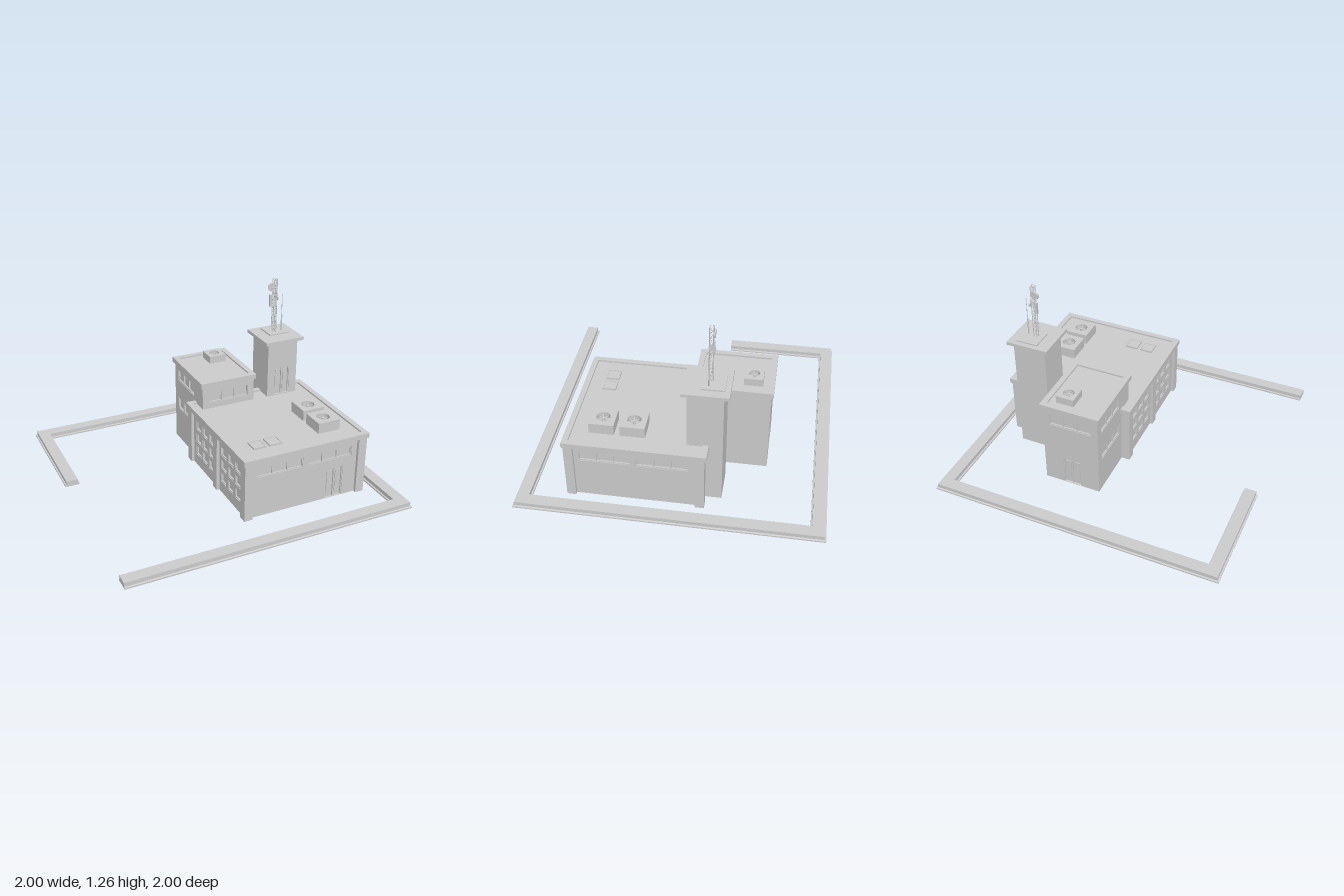
import * as THREE from 'three';

const grey = new THREE.MeshStandardMaterial({ color: 0xcccccc, flatShading: true, side: THREE.DoubleSide });

function add(parent, name, geo, x = 0, y = 0, z = 0) {
  const m = new THREE.Mesh(geo, grey);
  m.name = name;
  m.position.set(x, y, z);
  parent.add(m);
  return m;
}

function group(parent, name) {
  const g = new THREE.Group();
  g.name = name;
  parent.add(g);
  return g;
}

// box given by its limits
function block(parent, name, x0, x1, y0, y1, z0, z1) {
  return add(parent, name, new THREE.BoxGeometry(x1 - x0, y1 - y0, z1 - z0), (x0 + x1) / 2, (y0 + y1) / 2, (z0 + z1) / 2);
}

// box missing one face: 0 +x, 1 -x, 2 +y, 3 -y, 4 +z, 5 -z
function openBox(w, h, d, face) {
  const g = new THREE.BoxGeometry(w, h, d);
  g.setIndex(Array.from(g.index.array).filter((_, i) => Math.floor(i / 6) !== face));
  return g;
}

function rect(T, x0, y0, x1, y1) {
  return new T([[x0, y0], [x1, y0], [x1, y1], [x0, y1]].map(p => new THREE.Vector2(...p)));
}

// flat outline raised upward
function raise(shape, depth) {
  return new THREE.ExtrudeGeometry(shape, { depth, bevelEnabled: false, curveSegments: 12 }).rotateX(-Math.PI / 2);
}

// wall facing +z with recessed windows and doors; an opening is [u0, u1, y0, y1, panes, isDoor]
function wall(parent, name, w, h, openings) {
  const g = group(parent, name), depth = 0.014;
  const shape = rect(THREE.Shape, -w / 2, 0, w / 2, h);
  for (const [a, b, y0, y1, n, door] of openings) {
    shape.holes.push(rect(THREE.Path, a, y0, b, y1));
    const o = group(g, door ? 'door' : 'window');
    add(o, 'recess', openBox(b - a, y1 - y0, depth, 4), (a + b) / 2, (y0 + y1) / 2, -depth / 2);
    const t = 0.007, zf = -depth, zb = -0.004;
    for (let i = 0; i <= n; i++) {
      const u = a + (b - a - t) * i / n;
      block(o, 'frameUpright', u, u + t, y0, y1, zf, zb);
    }
    block(o, 'frameTop', a, b, y1 - t, y1, zf, zb);
    if (!door) block(o, 'frameSill', a, b, y0, y0 + t, zf, zb);
    else for (let i = 0; i < n; i++) {
      const u = a + (b - a) * (i + 0.5) / n, k = (b - a) / n * 0.28;
      block(o, 'doorPanel', u - k, u + k, y0 + 0.03, y1 - 0.025, zf, -0.009);
    }
  }
  add(g, 'wallPanel', new THREE.ShapeGeometry(shape));
  return g;
}

// four walls without floor; openings are listed per side in model coordinates
function walls(parent, x0, x1, z0, z1, h, sides) {
  const cx = (x0 + x1) / 2, cz = (z0 + z1) / 2;
  const defs = [
    ['front', x1 - x0, cx, z1, 0, 1, cx], ['back', x1 - x0, cx, z0, Math.PI, -1, cx],
    ['left', z1 - z0, x1, cz, Math.PI / 2, -1, cz], ['right', z1 - z0, x0, cz, -Math.PI / 2, 1, cz],
  ];
  for (const [side, w, px, pz, ry, s, c] of defs) {
    const list = (sides[side] || []).map(([a, b, ...rest]) => {
      const u = [s * (a - c), s * (b - c)].sort((p, q) => p - q);
      return [...u, ...rest];
    });
    const g = wall(parent, side + 'Wall', w, h, list);
    g.position.set(px, 0, pz);
    g.rotation.y = ry;
  }
}

// roof with raised rim
function roof(parent, x0, x1, z0, z1, y0, y1) {
  const r = 0.038;
  const s = rect(THREE.Shape, x0, -z1, x1, -z0);
  s.holes.push(rect(THREE.Path, x0 + r, -z1 + r, x1 - r, -z0 - r));
  add(parent, 'roofRim', raise(s, y1 - y0), 0, y0, 0);
  block(parent, 'roofDeck', x0 + r, x1 - r, y0, y1 - 0.012, z0 + r, z1 - r);
}

// rooftop cooling unit with a sunken fan
function coolingUnit(parent, x, z, w, d, y0, y1, r) {
  const g = group(parent, 'coolingUnit'), h = y1 - y0;
  g.position.set(x, y0, z);
  const s = rect(THREE.Shape, -w / 2, -d / 2, w / 2, d / 2);
  s.holes.push(new THREE.Path().absarc(0, 0, r, 0, Math.PI * 2));
  add(g, 'casing', raise(s, h));
  add(g, 'fanFloor', new THREE.CircleGeometry(r, 24).rotateX(-Math.PI / 2), 0, h * 0.4, 0);
  add(g, 'fanHub', new THREE.CylinderGeometry(r * 0.22, r * 0.22, h * 0.4, 12), 0, h * 0.7, 0);
  for (let i = 0; i < 8; i++) {
    const a = i * Math.PI / 4 + 0.2;
    const b = add(g, 'fanBlade', new THREE.BoxGeometry(r * 0.85, 0.003, r * 0.14), Math.cos(a) * r * 0.57, h * 0.75, -Math.sin(a) * r * 0.57);
    b.rotation.y = a;
  }
}

function rod(parent, name, a, b, r, sides = 5) {
  return add(parent, name, new THREE.TubeGeometry(new THREE.LineCurve3(new THREE.Vector3(...a), new THREE.Vector3(...b)), 1, r, sides));
}

// hollow kerb: a cross-section swept along a path with mitred corners
function kerb(parent) {
  const path = [[-0.95, -0.2], [-0.95, -0.95], [0.95, -0.95], [0.95, 0.95], [-1, 0.95]];
  const half = [[0.05, 0], [0.05, 0.01], [0.04, 0.013], [0.04, 0.04]];
  const prof = [...half, ...half.slice().reverse().map(([o, y]) => [-o, y])];
  const normal = i => {
    const [a, b] = [path[i], path[i + 1]], l = Math.hypot(b[0] - a[0], b[1] - a[1]);
    return [-(b[1] - a[1]) / l, (b[0] - a[0]) / l];
  };
  const pos = [], idx = [], n = prof.length;
  path.forEach(([x, z], i) => {
    const p = normal(Math.max(0, i - 1)), q = normal(Math.min(path.length - 2, i));
    const m = i === 0 || i === path.length - 1 ? p : [p[0] + q[0], p[1] + q[1]];
    for (const [o, y] of prof) pos.push(x + m[0] * o, y, z + m[1] * o);
    if (i) for (let k = 0; k < n - 1; k++) {
      const a = (i - 1) * n + k, b = i * n + k;
      idx.push(a, a + 1, b, b, a + 1, b + 1);
    }
  });
  // end caps
  const e = (path.length - 1) * n;
  for (let k = 0; k < n / 2 - 1; k++) {
    const j = n - 1 - k;
    idx.push(k, j, k + 1, k + 1, j, j - 1, e + k, e + k + 1, e + j, e + k + 1, e + j - 1, e + j);
  }
  const g = new THREE.BufferGeometry();
  g.setAttribute('position', new THREE.Float32BufferAttribute(pos, 3));
  g.setIndex(idx);
  const flat = g.toNonIndexed();
  flat.computeVertexNormals();
  add(parent, 'kerb', flat);
}

export function createModel() {
  const model = new THREE.Group();
  model.name = 'station';
  kerb(model);

  // main hall with glazed gates on its right side
  const hall = group(model, 'mainHall');
  const panes = [];
  for (const c of [0.03, 0.435]) for (const i of [-1, 0, 1]) for (const y of [0.08, 0.18, 0.28])
    panes.push([c + i * 0.105 - 0.04, c + i * 0.105 + 0.04, y, y + 0.07, 1]);
  walls(hall, -0.055, 0.805, -0.195, 0.66, 0.41, {
    front: [[0.02, 0.355, 0.29, 0.36, 3], [0.39, 0.725, 0.29, 0.36, 3], [0.535, 0.665, 0.003, 0.225, 2, true]],
    left: [[0.255, 0.59, 0.29, 0.36, 3], [-0.115, 0.22, 0.29, 0.36, 3]],
    right: panes,
  });
  roof(hall, -0.085, 0.835, -0.23, 0.69, 0.41, 0.445);
  for (const x of [-0.045, 0.795]) for (const z of [-0.187, 0.652])
    add(hall, 'cornerPillar', openBox(0.06, 0.41, 0.06, 3), x, 0.205, z);
  add(hall, 'middlePillar', openBox(0.03, 0.41, 0.06, 3), -0.06, 0.205, 0.2325);
  for (const z of [0.26, 0.46]) coolingUnit(hall, 0.615, z, 0.16, 0.163, 0.433, 0.507, 0.045);
  for (const x of [0.095, 0.21]) {
    const s = rect(THREE.Shape, -0.046, -0.046, 0.046, 0.046);
    s.holes.push(rect(THREE.Path, -0.039, -0.039, 0.039, 0.039));
    add(hall, 'skylightFrame', raise(s, 0.012), x, 0.433, 0.51);
    block(hall, 'skylightGlass', x - 0.039, x + 0.039, 0.433, 0.441, 0.471, 0.549);
  }

  // taller annex behind
  const annex = group(model, 'annex');
  walls(annex, -0.015, 0.38, -0.585, -0.095, 0.6, {
    front: [[0.03, 0.335, 0.475, 0.56, 3]],
    back: [[0.03, 0.335, 0.475, 0.56, 3], [0.115, 0.245, 0.003, 0.215, 2, true]],
    right: [[-0.53, -0.25, 0.475, 0.56, 3], [-0.53, -0.25, 0.25, 0.335, 3]],
  });
  roof(annex, -0.03, 0.39, -0.6, -0.08, 0.6, 0.635);
  coolingUnit(annex, 0.243, -0.463, 0.125, 0.125, 0.623, 0.675, 0.036);

  // tower
  const tower = group(model, 'tower');
  walls(tower, 0.488, 0.718, -0.318, -0.09, 0.84, { front: [[0.54, 0.66, 0.44, 0.65, 2, true]] });
  block(tower, 'towerRoof', 0.455, 0.75, 0.84, 0.862, -0.352, -0.058);
  block(tower, 'mastPlinth', 0.542, 0.692, 0.862, 0.871, -0.318, -0.17);

  // lattice mast
  const mast = group(model, 'mast');
  const cx = 0.596, cz = -0.222, r = 0.012, y0 = 0.87, bays = 13, step = 0.03;
  const corner = k => [cx + (k % 4 === 0 || k % 4 === 3 ? r : -r), cz + (k % 4 < 2 ? r : -r)];
  for (let k = 0; k < 4; k++) {
    const [ax, az] = corner(k), [bx, bz] = corner(k + 1);
    rod(mast, 'mastLeg', [ax, y0, az], [ax, y0 + bays * step, az], 0.003);
    for (let i = 0; i < bays; i++) {
      const y = y0 + i * step;
      rod(mast, 'mastBrace', [ax, y, az], [bx, y + step, bz], 0.0015, 4);
      rod(mast, 'mastRung', [ax, y + step, az], [bx, y + step, bz], 0.0015, 4);
    }
  }

  // aerials on the mast
  const dishGeo = rad => new THREE.CylinderGeometry(rad, rad * 0.85, 0.01, 20);
  add(mast, 'frontDish', dishGeo(0.03).rotateX(Math.PI / 2), 0.577, 1.2, -0.238);
  add(mast, 'sideDish', dishGeo(0.023).rotateZ(-Math.PI / 2), 0.614, 1.125, -0.229);
  block(mast, 'panelAerial', 0.563, 0.58, 1.06, 1.145, -0.241, -0.228);
  block(mast, 'panelBracket', 0.575, 0.59, 1.1, 1.108, -0.237, -0.231);
  rod(mast, 'whipBase', [0.655, 0.87, -0.217], [0.655, 0.99, -0.217], 0.005, 8);
  rod(mast, 'whip', [0.655, 0.98, -0.217], [0.655, 1.145, -0.217], 0.002, 6);
  return model;
}
